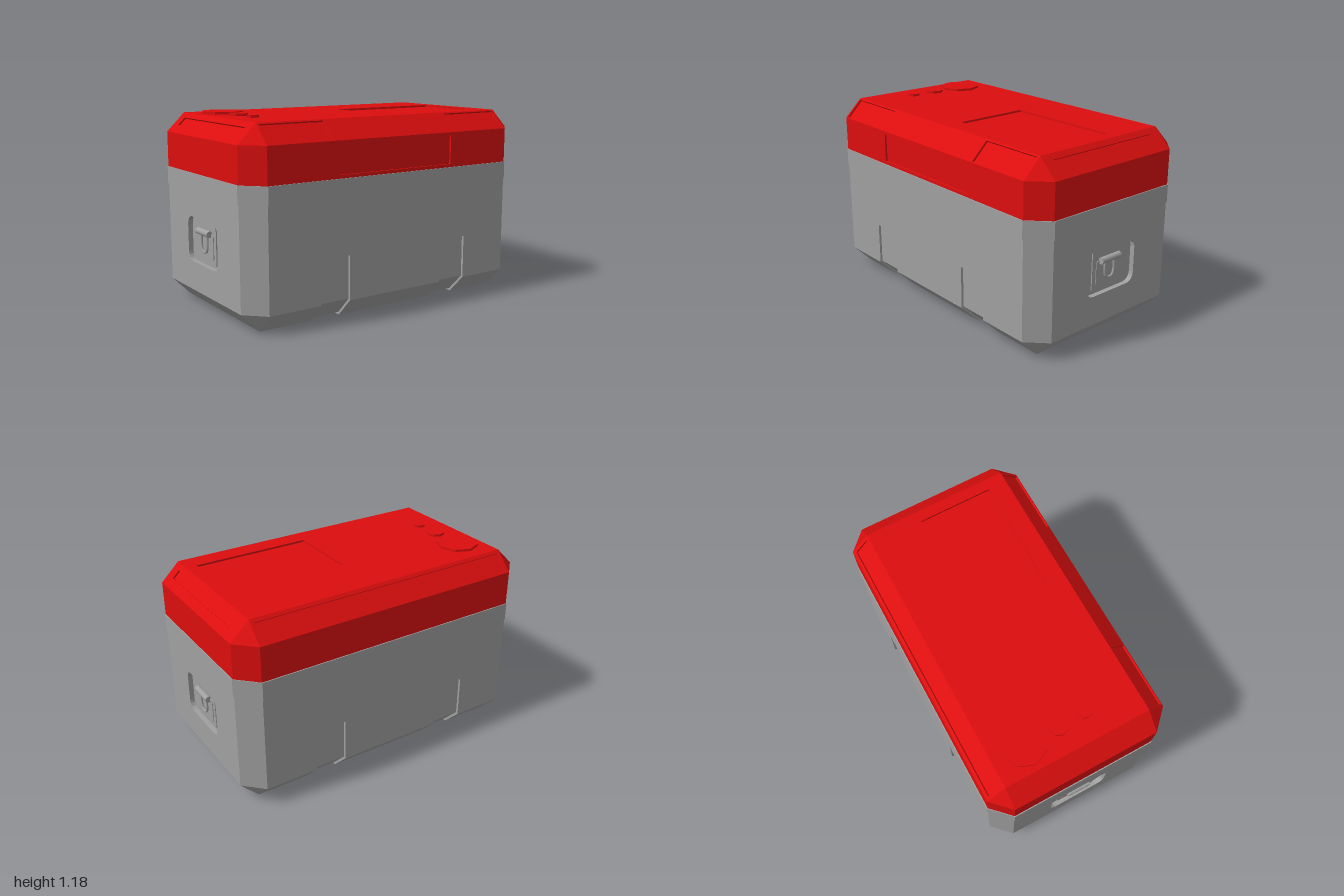
import * as THREE from 'three';
import { mergeGeometries } from 'three/addons/utils/BufferGeometryUtils.js';

const red = new THREE.MeshStandardMaterial({ color: 0xdc0e0e });
red.name = 'red lid';
const grey = new THREE.MeshStandardMaterial({ color: 0xa0a0a0 });
grey.name = 'grey body';

// Four sides: half width, distance out, distance of the inner end of the bevel
const SIDES = [0, 1, 2, 3].map((k) => (k % 2 ? { h: 0.46, out: 0.99, inn: 0.875 } : { h: 0.875, out: 0.575, inn: 0.46 }));
const Y = { bevel: 0.117, rim: 0.725, seam: 0.835, shoulder: 1.05, top: 1.163 };

// Point on side k: a runs to the right as seen from outside, o runs outward
function P(k, a, y, o) {
  return [[a, y, o], [o, y, -a], [-a, y, -o], [-o, y, a]].map((p) => new THREE.Vector3(...p))[k % 4];
}

function rect(x0, y0, x1, y1) {
  return [[x0, y0], [x1, y0], [x1, y1], [x0, y1]].map((p) => new THREE.Vector2(...p));
}

function roundRect(x0, y0, x1, y1, r, steps = 4) {
  const pts = [];
  [[x1 - r, y1 - r], [x0 + r, y1 - r], [x0 + r, y0 + r], [x1 - r, y0 + r]].forEach(([cx, cy], q) => {
    for (let i = 0; i <= steps; i++) {
      const t = (q + i / steps) * Math.PI / 2;
      pts.push(new THREE.Vector2(cx + r * Math.cos(t), cy + r * Math.sin(t)));
    }
  });
  return pts;
}

function flat(geometry) {
  const g = geometry.index ? geometry.toNonIndexed() : geometry;
  g.deleteAttribute('uv');
  g.computeVertexNormals();
  return g;
}

function mesh(name, geometry, material) {
  const m = new THREE.Mesh(geometry, material);
  m.name = name;
  return m;
}

// Flat panel through 3D corners, with sunken recesses { pts, depth }.
// Recess origin is the middle of the first edge.
function panel(corners, recesses = []) {
  const [a, b, c] = corners;
  const u = b.clone().sub(a).normalize();
  const n = u.clone().cross(c.clone().sub(a)).normalize();
  const v = n.clone().cross(u);
  const mid = a.clone().add(b).multiplyScalar(0.5);
  const shape = new THREE.Shape(corners.map((p) => {
    const d = p.clone().sub(mid);
    return new THREE.Vector2(d.dot(u), d.dot(v));
  }));
  const parts = [];
  for (const { pts, depth } of recesses) {
    shape.holes.push(new THREE.Path(pts));
    parts.push(flat(new THREE.ShapeGeometry(new THREE.Shape(pts)).translate(0, 0, -depth)));
    const wall = [];
    pts.forEach((p, i) => {
      const q = pts[(i + 1) % pts.length];
      wall.push(q.x, q.y, -depth, p.x, p.y, -depth, p.x, p.y, 0);
      wall.push(q.x, q.y, -depth, p.x, p.y, 0, q.x, q.y, 0);
    });
    const g = new THREE.BufferGeometry();
    g.setAttribute('position', new THREE.Float32BufferAttribute(wall, 3));
    parts.push(flat(g));
  }
  parts.push(flat(new THREE.ShapeGeometry(shape)));
  return mergeGeometries(parts).applyMatrix4(new THREE.Matrix4().makeBasis(u, v, n).setPosition(mid));
}

// Upright band on side k between two heights
function band(k, y0, y1, recesses) {
  const { h, out } = SIDES[k];
  return panel([P(k, -h, y0, out), P(k, h, y0, out), P(k, h, y1, out), P(k, -h, y1, out)], recesses);
}

// Cut corner between side k and the next
function corner(k, y0, y1) {
  const s = SIDES[k], t = SIDES[(k + 1) % 4];
  return panel([P(k, s.h, y0, s.out), P(k + 1, -t.h, y0, t.out), P(k + 1, -t.h, y1, t.out), P(k, s.h, y1, s.out)]);
}

function makeLid() {
  const lid = new THREE.Group();
  lid.name = 'lid';
  const bevelRecesses = [
    [-1, 1].map((s) => ({ pts: rect(s * 0.655 - 0.205, 0.008, s * 0.655 + 0.205, 0.15), depth: 0.012 })),
    [{ pts: rect(-0.39, 0.062, 0.39, 0.122), depth: 0.01 }],
    [{ pts: rect(-0.855, 0.025, 0.855, 0.137), depth: 0.01 }],
    [{ pts: rect(-0.39, 0.062, 0.39, 0.122), depth: 0.01 }],
  ];
  const names = ['front', 'left', 'back', 'right'];
  for (let k = 0; k < 4; k++) {
    const { h, out, inn } = SIDES[k], t = SIDES[(k + 1) % 4];
    const frontPanel = k === 0 ? [{ pts: rect(-0.415, 0.02, 0.415, 0.195), depth: 0.012 }] : [];
    lid.add(mesh(names[k] + 'LidWall', band(k, Y.seam, Y.shoulder, frontPanel), red));
    lid.add(mesh(names[k] + 'LidBevel', panel([P(k, -h, Y.shoulder, out), P(k, h, Y.shoulder, out),
      P(k, h, Y.top, inn), P(k, -h, Y.top, inn)], bevelRecesses[k]), red));
    lid.add(mesh('lidCorner', mergeGeometries([corner(k, Y.seam, Y.shoulder),
      panel([P(k, h, Y.shoulder, out), P(k + 1, -t.h, Y.shoulder, t.out), P(k, h, Y.top, inn)])]), red));
  }
  // Top with its sunken rectangular window
  lid.add(mesh('lidTop', panel([P(0, -0.875, Y.top, 0.46), P(0, 0.875, Y.top, 0.46),
    P(0, 0.875, Y.top, -0.46), P(0, -0.875, Y.top, -0.46)],
  [{ pts: rect(0.065, 0.12, 0.805, 0.59), depth: 0.012 }]), red));
  // Row of faceted knobs
  for (const [z, r] of [[-0.255, 0.13], [-0.035, 0.057], [0.135, 0.037]]) {
    const knob = mesh('knob', flat(new THREE.CylinderGeometry(r, r, 0.025, 8)), red);
    knob.position.set(-0.715, Y.top + 0.0025, z);
    lid.add(knob);
  }
  return lid;
}

function makeBody() {
  const body = new THREE.Group();
  body.name = 'body';
  // Cross-sections run along x; the channel slices are stepped inward
  const plain = [[0.46, 0], [0.575, Y.bevel], [0.575, Y.rim + 0.01]];
  const channel = [[0.454, 0.015], [0.56, 0.123], [0.56, 0.385], [0.575, 0.385], [0.575, Y.rim + 0.01]];
  const cuts = [-0.875, -0.54, -0.34, 0.34, 0.54, 0.875];
  for (let i = 0; i < 5; i++) {
    const half = i % 2 ? channel : plain;
    const pts = [...half, ...half.map(([z, y]) => [-z, y]).reverse()].map((p) => new THREE.Vector2(...p));
    const g = new THREE.ExtrudeGeometry(new THREE.Shape(pts), { depth: cuts[i + 1] - cuts[i], bevelEnabled: false });
    g.rotateY(Math.PI / 2).translate(cuts[i], 0, 0);
    body.add(mesh(i % 2 ? 'strapChannel' : 'bodySection', g, grey));
  }
  // Ends with handle pockets, lower bevels and cut corners
  for (const k of [1, 3]) {
    const { h, out, inn } = SIDES[k];
    const pocket = { pts: roundRect(-0.195, 0.295 - Y.bevel, 0.195, 0.57 - Y.bevel, 0.055), depth: 0.03 };
    body.add(mesh('endWall', band(k, Y.bevel, Y.rim + 0.01, [pocket]), grey));
    body.add(mesh('endBevel', panel([P(k, -h, 0, inn), P(k, h, 0, inn), P(k, h, Y.bevel, out), P(k, -h, Y.bevel, out)]), grey));
  }
  for (let k = 0; k < 4; k++) {
    const { h, out, inn } = SIDES[k], t = SIDES[(k + 1) % 4];
    body.add(mesh('bodyCorner', mergeGeometries([corner(k, Y.bevel, Y.rim + 0.01),
      panel([P(k, h, 0, inn), P(k + 1, -t.h, Y.bevel, t.out), P(k, h, Y.bevel, out)])]), grey));
  }
  // Slightly wider rim below the lid
  const e = 0.006;
  const ring = [];
  for (let k = 0; k < 4; k++) {
    const { h, out } = SIDES[k];
    for (const a of [-h, h]) {
      const p = P(k, a, 0, out + e);
      ring.push(new THREE.Vector2(p.x, -p.z));
    }
  }
  const rim = new THREE.ExtrudeGeometry(new THREE.Shape(ring), { depth: Y.seam - Y.rim, bevelEnabled: false });
  body.add(mesh('rim', rim.rotateX(-Math.PI / 2).translate(0, Y.rim, 0), grey));
  return body;
}

// Handle in its pocket, built facing +z then turned to an end
function makeHandle(side) {
  const handle = new THREE.Group();
  handle.name = side > 0 ? 'leftHandle' : 'rightHandle';
  const plate = (pts, z, depth) => new THREE.ExtrudeGeometry(new THREE.Shape(pts), { depth, bevelEnabled: false }).translate(0, 0, z);
  handle.add(mesh('handlePlate', plate(roundRect(-0.13, 0.31, 0.13, 0.565, 0.02), 0.955, 0.012), grey));
  handle.add(mesh('handleInset', plate(roundRect(-0.102, 0.338, 0.102, 0.495, 0.02), 0.962, 0.009), grey));
  const bar = mesh('handleBar', new THREE.CylinderGeometry(0.02, 0.02, 0.155, 16).rotateZ(Math.PI / 2), grey);
  bar.position.set(0, 0.495, 0.98);
  const path = new THREE.CatmullRomCurve3([[-0.037, 0.49], [-0.037, 0.415], [-0.026, 0.385], [0, 0.375],
    [0.026, 0.385], [0.037, 0.415], [0.037, 0.49]].map(([x, y]) => new THREE.Vector3(x, y, 0.977)));
  handle.add(bar, mesh('handleLoop', new THREE.TubeGeometry(path, 28, 0.007, 8), grey));
  handle.rotation.y = side * Math.PI / 2;
  return handle;
}

export function createModel() {
  const model = new THREE.Group();
  model.name = 'coolBox';
  model.add(makeBody(), makeLid(), makeHandle(1), makeHandle(-1));
  return model;
}
